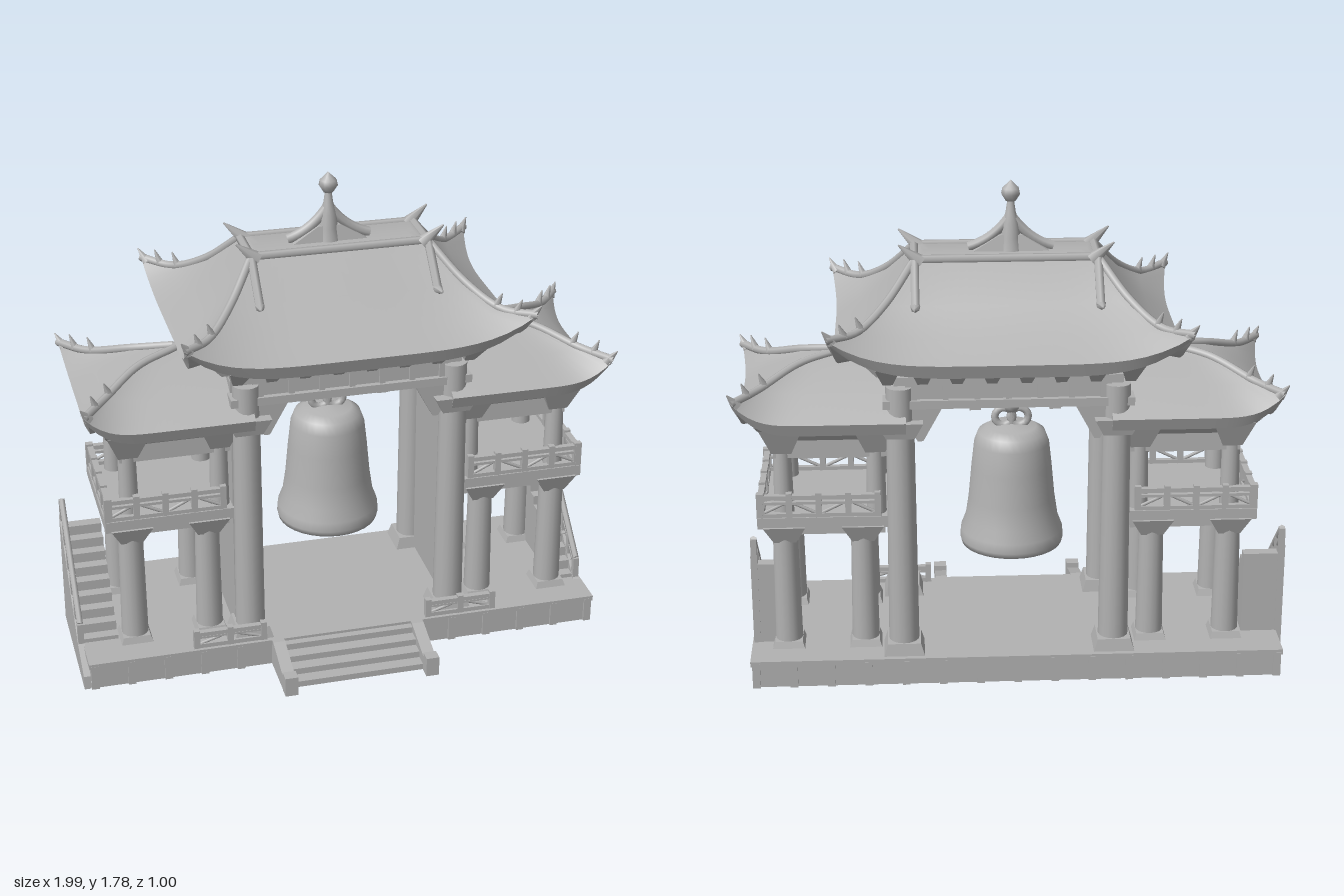
import * as THREE from 'three';
import { toCreasedNormals } from 'three/addons/utils/BufferGeometryUtils.js';

const stone = new THREE.MeshStandardMaterial({ color: 0xb2b2b2 });
stone.name = 'grey stone';

function add(parent, name, geo, x = 0, y = 0, z = 0) {
  const m = new THREE.Mesh(geo, stone);
  m.name = name;
  m.position.set(x, y, z);
  parent.add(m);
  return m;
}
function group(parent, name, x = 0, y = 0, z = 0) {
  const g = new THREE.Group();
  g.name = name;
  g.position.set(x, y, z);
  parent.add(g);
  return g;
}
// Box given by its limits
function box(parent, name, x0, x1, y0, y1, z0, z1) {
  return add(parent, name, new THREE.BoxGeometry(x1 - x0, y1 - y0, z1 - z0), (x0 + x1) / 2, (y0 + y1) / 2, (z0 + z1) / 2);
}
// Box whose top has another size than its bottom
function frustum(parent, name, wb, db, wt, dt, y0, y1, x, z) {
  const g = new THREE.BoxGeometry(1, 1, 1).toNonIndexed(), p = g.attributes.position;
  for (let i = 0; i < p.count; i++) {
    const top = p.getY(i) > 0;
    p.setXYZ(i, p.getX(i) * (top ? wt : wb), top ? y1 : y0, p.getZ(i) * (top ? dt : db));
  }
  g.computeVertexNormals();
  return add(parent, name, g, x, 0, z);
}
function column(parent, name, r, y0, y1, x, z) {
  add(parent, name, new THREE.CylinderGeometry(r * 0.88, r, y1 - y0, 16), x, (y0 + y1) / 2, z);
}
// Straight round bar between two points
function bar(parent, name, a, b, r0, r1 = r0, sides = 6) {
  const A = new THREE.Vector3(...a), d = new THREE.Vector3(...b).sub(A);
  const m = add(parent, name, new THREE.CylinderGeometry(r1, r0, d.length(), sides));
  m.position.copy(A).addScaledVector(d, 0.5);
  m.quaternion.setFromUnitVectors(new THREE.Vector3(0, 1, 0), d.normalize());
}
// Side profile [z, y] extruded towards -x from x
function sidePrism(parent, name, profile, w, x) {
  const geo = new THREE.ExtrudeGeometry(new THREE.Shape(profile.map(p => new THREE.Vector2(...p))), { depth: w, bevelEnabled: false });
  geo.rotateY(-Math.PI / 2);
  add(parent, name, geo, x);
}
// Lattice railing along local x
function railing(parent, L, h, x, y, z, turn = 0) {
  const g = group(parent, 'railing', x, y, z);
  g.rotation.y = turn;
  const n = Math.max(2, Math.round(L / 0.11)), s = L / n;
  box(g, 'topRail', -L / 2, L / 2, h - 0.016, h, -0.011, 0.011);
  box(g, 'midRail', -L / 2, L / 2, h * 0.58, h * 0.7, -0.007, 0.007);
  box(g, 'bottomRail', -L / 2, L / 2, 0, 0.016, -0.01, 0.01);
  for (let i = 0; i <= n; i++) {
    const px = -L / 2 + i * s;
    box(g, 'railPost', px - 0.011, px + 0.011, 0, h + 0.008, -0.012, 0.012);
    if (i < n) {
      const up = i % 2;
      bar(g, 'railBrace', [px, 0.01 + up * h * 0.6, 0], [px + s, 0.01 + (1 - up) * h * 0.6, 0], 0.006);
    }
  }
}

// Curved hip roof lofted through levels [x0, x1, halfDepth, y, cornerLift]
function roof(parent, levels, oneSided) {
  const N = 24, pts = [], tri = [], ring = [];
  const place = ([x0, x1, hz, y, lift], fx, fz) => {
    const w = oneSided && fx < 0 ? 0 : Math.min(Math.abs(fx), Math.abs(fz)) ** 5;
    const out = lift * w;
    return [(x0 + x1) / 2 + fx * (x1 - x0) / 2 + Math.sign(fx) * out * 0.2, y + out, fz * hz + Math.sign(fz) * out * 0.04];
  };
  for (let s = 0; s < 4; s++) for (let j = 0; j < N; j++) {
    const u = -1 + 2 * j / N;
    ring.push([[u, 1], [1, -u], [-u, -1], [-1, u]][s]);
  }
  const M = ring.length;
  for (const l of levels) for (const [fx, fz] of ring) pts.push(...place(l, fx, fz));
  for (let i = 0; i < levels.length - 1; i++) for (let j = 0; j < M; j++) {
    const a = i * M + j, b = i * M + (j + 1) % M;
    tri.push(a, b, a + M, b, b + M, a + M);
  }
  const g = new THREE.BufferGeometry();
  g.setAttribute('position', new THREE.Float32BufferAttribute(pts, 3));
  g.setIndex(tri);
  add(parent, 'roofShell', toCreasedNormals(g, 0.6));

  // Hip ridges ending in upturned tips and small horns
  for (const sx of oneSided ? [1] : [-1, 1]) for (const sz of [-1, 1]) {
    const c = new THREE.CatmullRomCurve3(levels.slice(2, 6).map(l => new THREE.Vector3(...place(l, sx, sz))));
    add(parent, 'hipRidge', new THREE.TubeGeometry(c, 20, 0.015, 7));
    const e = c.getPoint(0);
    bar(parent, 'hipTip', [e.x - sx * 0.02, e.y - 0.012, e.z - sz * 0.02], [e.x + sx * 0.01, e.y + 0.035, e.z + sz * 0.004], 0.02, 0.002);
    for (const t of [0.2, 0.38]) {
      const q = c.getPoint(t);
      bar(parent, 'hipHorn', [q.x, q.y, q.z], [q.x + sx * 0.018, q.y + 0.05, q.z + sz * 0.01], 0.016, 0.002);
    }
  }
}

function sidePavilion(parent, turn) {
  const g = group(parent, 'sidePavilion');
  g.rotation.y = turn;
  for (const z of [-0.18, 0.18]) {
    for (const x of [0.52, 0.8]) {
      column(g, 'lowerColumn', 0.05, 0.1, 0.6, x, z);
      frustum(g, 'columnFoot', 0.12, 0.12, 0.1, 0.1, 0.1, 0.13, x, z);
      frustum(g, 'columnCapital', 0.08, 0.08, 0.15, 0.13, 0.52, 0.585, x, z);
    }
    for (const x of [0.47, 0.8]) {
      column(g, 'upperColumn', 0.036, 0.6, 0.9, x, z);
      frustum(g, 'upperCapital', 0.07, 0.07, 0.15, 0.15, 0.86, 0.96, x, z);
    }
    box(g, 'balconyBeam', 0.44, 0.84, 0.545, 0.585, z - 0.025, z + 0.025);
    box(g, 'eaveBeam', 0.42, 0.83, 0.84, 0.91, z - 0.025, z + 0.025);
    railing(g, 0.42, 0.085, 0.675, 0.62, Math.sign(z) * 0.22);
  }
  box(g, 'outerBalconyBeam', 0.775, 0.825, 0.545, 0.585, -0.18, 0.18);
  box(g, 'outerEaveBeam', 0.775, 0.825, 0.84, 0.91, -0.18, 0.18);
  box(g, 'balconyFloor', 0.42, 0.895, 0.58, 0.622, -0.235, 0.235);
  railing(g, 0.44, 0.085, 0.88, 0.62, 0, Math.PI / 2);
  frustum(g, 'eaveSupport', 0.44, 0.4, 0.54, 0.54, 0.9, 0.98, 0.62, 0);
  const r = group(g, 'pavilionRoof');
  roof(r, [[0.36, 0.8, 0.2, 0.975, 0], [0.36, 0.925, 0.305, 0.96, 0.09], [0.36, 0.945, 0.322, 1.005, 0.085],
    [0.36, 0.865, 0.205, 1.08, 0.02], [0.36, 0.73, 0.08, 1.145, 0.005], [0.36, 0.585, 0.012, 1.175, 0]], true);
  bar(r, 'ridge', [0.36, 1.175, 0], [0.59, 1.175, 0], 0.017);
}

// Stair rising to the back beside each pavilion, with sloped wall and rail
function sideStair(parent, s, outer) {
  const g = group(parent, 'sideStair');
  const xo = s * outer, xi = s * 0.84;
  sidePrism(g, 'stairWall', [[-0.235, 0], [0.275, 0], [0.27, 0.05], [0.14, 0.11], [-0.235, 0.45]], 0.025, s > 0 ? xo : xo + 0.025);
  for (let i = 0; i < 9; i++)
    box(g, 'stairTread', Math.min(xo, xi) + 0.004, Math.max(xo, xi) - 0.004, 0, 0.12 + i * 0.037, -0.232, 0.13 - i * 0.04);
  const xr = xo - s * 0.013;
  bar(g, 'stairRail', [xr, 0.19, 0.13], [xr, 0.515, -0.225], 0.012);
  bar(g, 'stairMidRail', [xr, 0.155, 0.13], [xr, 0.48, -0.225], 0.009);
  for (let i = 0; i <= 5; i++) {
    const t = i / 5, z = 0.13 - t * 0.355, y = 0.1 + t * 0.325;
    box(g, 'stairPost', xr - 0.011, xr + 0.011, y, y + 0.09, z - 0.011, z + 0.011);
  }
}

export function createModel() {
  const model = new THREE.Group();
  model.name = 'bellGate';
  const C = -0.055;

  // Plinth with top lip and shallow piers
  const base = group(model, 'plinth', -0.01, 0, C);
  box(base, 'plinthBody', -0.955, 0.955, 0, 0.09, -0.33, 0.33);
  box(base, 'plinthLip', -0.965, 0.965, 0.085, 0.105, -0.338, 0.338);
  for (let i = 0; i <= 14; i++) for (const z of [-0.33, 0.33]) {
    const x = -0.945 + i * 0.135;
    if (z < 0 || Math.abs(x) > 0.25) box(base, 'plinthPier', x - 0.014, x + 0.014, 0, 0.095, z - 0.009, z + 0.009);
  }

  // Front steps
  const steps = group(model, 'frontSteps', -0.01, 0, 0);
  for (let i = 0; i < 4; i++) box(steps, 'step', -0.25, 0.25, 0, 0.095 - i * 0.024, 0.25, 0.31 + i * 0.047);
  for (const x of [-0.265, 0.265]) {
    sidePrism(steps, 'stepCheek', [[0.25, 0], [0.49, 0], [0.49, 0.045], [0.3, 0.105], [0.25, 0.105]], 0.045, x + 0.022);
    box(steps, 'cheekPost', x - 0.024, x + 0.024, 0, 0.075, 0.455, 0.5);
    railing(steps, 0.25, 0.065, x + Math.sign(x) * 0.175, 0.105, 0.26);
  }

  // Main gate
  const gate = group(model, 'gate', 0.02, 0, C);
  for (const x of [-0.38, 0.38]) {
    const s = Math.sign(x);
    for (const z of [-0.25, 0.25]) {
      column(gate, 'mainColumn', 0.055, 0.1, 1.12, x, z);
      frustum(gate, 'mainColumnFoot', 0.15, 0.14, 0.12, 0.12, 0.1, 0.15, x, z);
      frustum(gate, 'mainCapital', 0.1, 0.1, 0.16, 0.13, 0.94, 1.0, x, z);
      frustum(gate, 'lintelBrace', 0.02, 0.04, 0.16, 0.05, 0.92, 1.05, x - s * 0.07, z);
    }
    box(gate, 'sideWall', x + s * 0.025 - 0.025, x + s * 0.025 + 0.025, 0.1, 1.12, -0.22, 0.22);
    box(gate, 'sideTieBeam', x - 0.035, x + 0.035, 1.0, 1.07, -0.25, 0.25);
  }
  for (const z of [-0.25, 0.25]) {
    box(gate, 'lowerLintel', -0.44, 0.44, 1.045, 1.075, z - 0.035, z + 0.035);
    box(gate, 'latticeBack', -0.36, 0.36, 1.07, 1.15, z - 0.015, z + 0.015);
    box(gate, 'upperLintel', -0.4, 0.4, 1.13, 1.16, z - 0.03, z + 0.03);
    for (let i = 0; i < 7; i++) box(gate, 'latticePost', -0.34 + i * 0.11, -0.32 + i * 0.11, 1.07, 1.14, z - 0.026, z + 0.026);
    for (let i = 0; i < 8; i++)
      frustum(gate, 'roofBracket', 0.035, 0.04, 0.085, 0.2, 1.145, 1.225, -0.42 + i * 0.12, z + Math.sign(z) * 0.04);
  }
  for (const x of [-0.42, 0.42]) for (let i = 0; i < 4; i++)
    frustum(gate, 'endBracket', 0.04, 0.035, 0.2, 0.085, 1.145, 1.235, x + Math.sign(x) * 0.02, -0.21 + i * 0.14);
  frustum(gate, 'roofCeiling', 0.84, 0.5, 0.98, 0.62, 1.15, 1.23, 0, 0);

  // Main roof with truncated top
  const top = group(gate, 'mainRoof');
  roof(top, [[0.36, 0.24, 1.225, 0], [0.585, 0.41, 1.2, 0.12], [0.605, 0.428, 1.25, 0.1], [0.515, 0.335, 1.31, 0.035],
    [0.42, 0.22, 1.4, 0.01], [0.32, 0.095, 1.53, 0], [0.3, 0.08, 1.535, 0], [0.29, 0, 1.535, 0]]
    .map(([x, ...r]) => [-x, x, ...r]), false);
  for (const z of [-0.095, 0.095]) {
    bar(top, 'topRidge', [-0.33, 1.53, z], [0.33, 1.53, z], 0.016);
    for (const s of [-1, 1]) {
      bar(top, 'verge', [s * 0.32, 1.535, z], [s * 0.32, 1.395, z * 2.4], 0.017);
      bar(top, 'vergeFoot', [s * 0.32, 1.395, z * 2.35], [s * 0.325, 1.4, z * 2.85], 0.02, 0.004);
      bar(top, 'ridgeHorn', [s * 0.3, 1.52, z], [s * 0.375, 1.585, z * 1.1], 0.028, 0.003);
    }
  }
  for (const s of [-1, 1]) bar(top, 'endRidge', [s * 0.32, 1.53, -0.095], [s * 0.32, 1.53, 0.095], 0.016);

  // Finial on a small peaked ridge
  const finial = group(model, 'finial', 0, 0, C + 0.005);
  const v2 = a => a.map(p => new THREE.Vector2(...p));
  add(finial, 'spindle', new THREE.LatheGeometry(v2([[0.045, 1.53], [0.034, 1.58], [0.03, 1.63], [0.018, 1.67], [0.012, 1.71]]), 12));
  add(finial, 'knob', new THREE.LatheGeometry(v2([[0, 1.705], [0.018, 1.71], [0.034, 1.735], [0.03, 1.755], [0.012, 1.772], [0, 1.785]]), 10));
  for (const s of [-1, 1]) {
    const c = new THREE.QuadraticBezierCurve3(new THREE.Vector3(s * 0.15, 1.545, 0), new THREE.Vector3(s * 0.06, 1.57, 0), new THREE.Vector3(0, 1.66, 0));
    add(finial, 'peakRidge', new THREE.TubeGeometry(c, 10, 0.018, 7));
  }
  frustum(finial, 'peakBase', 0.3, 0.07, 0.08, 0.04, 1.525, 1.59, 0, 0);

  // Bell hanging from a plate on two cross beams
  const bell = group(model, 'bell', -0.003, 0, C);
  add(bell, 'bellBody', new THREE.LatheGeometry(v2([[0, 0.83], [0.1, 0.82], [0.13, 0.68], [0.165, 0.5], [0.175, 0.425], [0.185, 0.42],
    [0.19, 0.44], [0.187, 0.475], [0.17, 0.52], [0.158, 0.6], [0.147, 0.72], [0.137, 0.81], [0.122, 0.85], [0.09, 0.87], [0, 0.88]]), 32));
  bar(bell, 'clapperRod', [0, 0.82, 0], [0, 0.42, 0], 0.01);
  add(bell, 'clapper', new THREE.SphereGeometry(0.026, 10, 8), 0, 0.415, 0);
  for (const s of [-1, 1]) {
    add(bell, 'hangerLoop', new THREE.TorusGeometry(0.033, 0.014, 8, 14), s * 0.028, 0.905, 0);
    box(bell, 'crossBeam', s * 0.14 - 0.02, s * 0.14 + 0.02, 1.025, 1.06, -0.25, 0.25);
  }
  add(bell, 'hangerKnot', new THREE.SphereGeometry(0.034, 10, 8), 0, 0.955, 0);
  bar(bell, 'hangerRod', [0, 0.88, 0], [0, 1.02, 0], 0.016);
  box(bell, 'hangingBeam', -0.18, 0.18, 0.995, 1.03, -0.03, 0.03);

  for (const t of [0, Math.PI]) sidePavilion(gate, t);
  sideStair(model, 1, 0.95);
  sideStair(model, -1, 0.995);
  return model;
}
